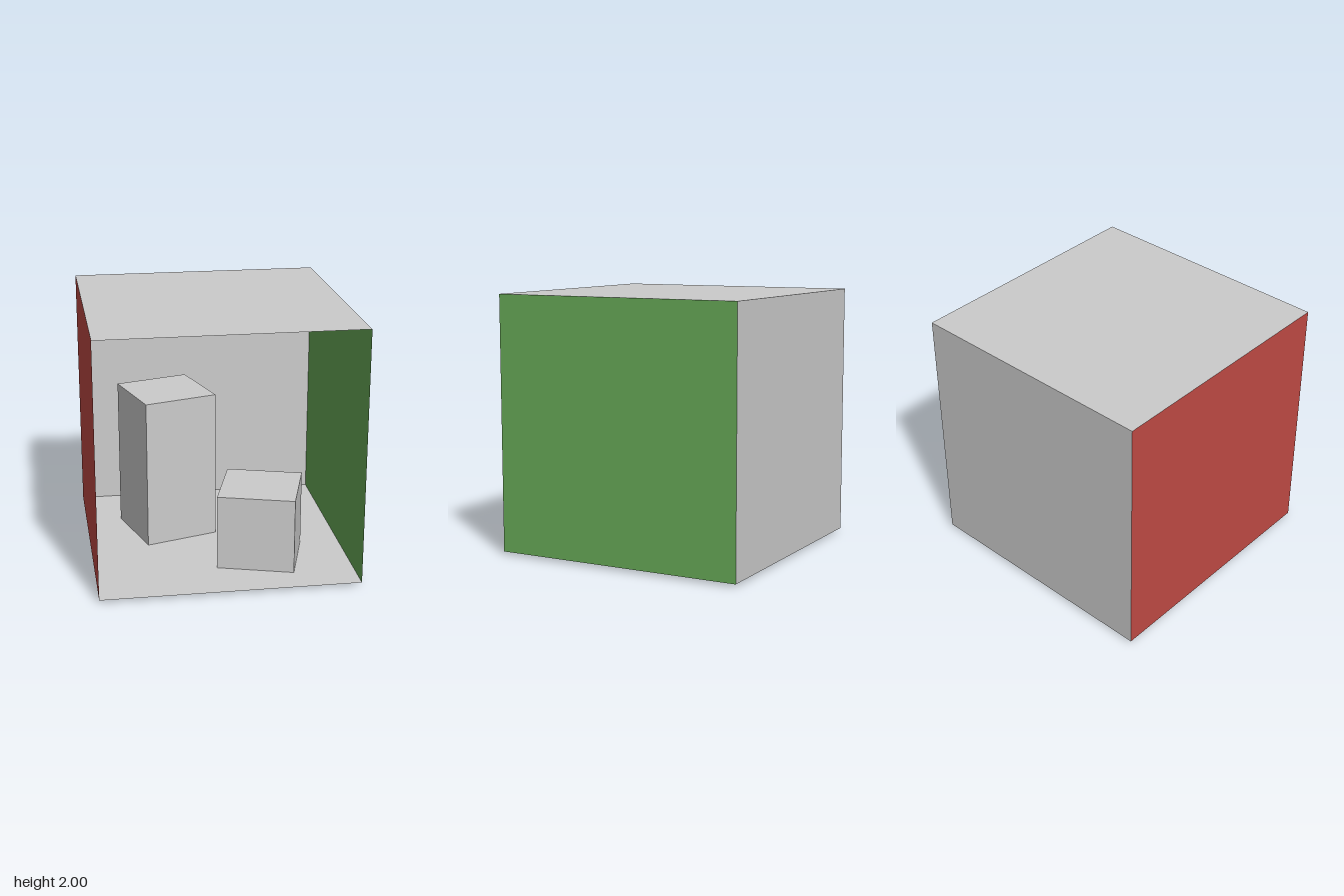
import * as THREE from 'three';

const W = 1.98, FLOOR = 0.024, TOP = 2;
const H = TOP - FLOOR, MID = (TOP + FLOOR) / 2;

const material = (color, side = THREE.FrontSide) => new THREE.MeshStandardMaterial({ color, side });

export function createModel() {
  const model = new THREE.Group();
  model.name = 'openRoom';

  // Thin room panels, open towards the front
  const panel = (name, w, h, position, rotation, color = 0xcccccc) => {
    const mesh = new THREE.Mesh(new THREE.PlaneGeometry(w, h), material(color, THREE.DoubleSide));
    mesh.name = name;
    mesh.position.set(...position);
    mesh.rotation.set(...rotation);
    model.add(mesh);
  };
  const q = Math.PI / 2;
  panel('floor', W, W, [0, FLOOR, 0], [-q, 0, 0]);
  panel('ceiling', W, W, [0, TOP, 0], [q, 0, 0]);
  panel('backWall', W, H, [0, MID, -W / 2], [0, 0, 0]);
  panel('leftWall', W, H, [W / 2, MID, 0], [0, -q, 0], 0x68aa58);
  panel('rightWall', W, H, [-W / 2, MID, 0], [0, q, 0], 0xc04a44);

  // Turned square blocks, sunk slightly through the floor
  const block = (name, height, x, z, turn) => {
    const mesh = new THREE.Mesh(new THREE.BoxGeometry(0.595, height, 0.595), material(0xcccccc));
    mesh.name = name;
    mesh.position.set(x, height / 2, z);
    mesh.rotation.y = turn;
    model.add(mesh);
  };
  block('tallBlock', 1.21, -0.333, -0.29, 0.293);
  block('shortBlock', 0.613, 0.319, 0.375, -0.293);

  return model;
}
